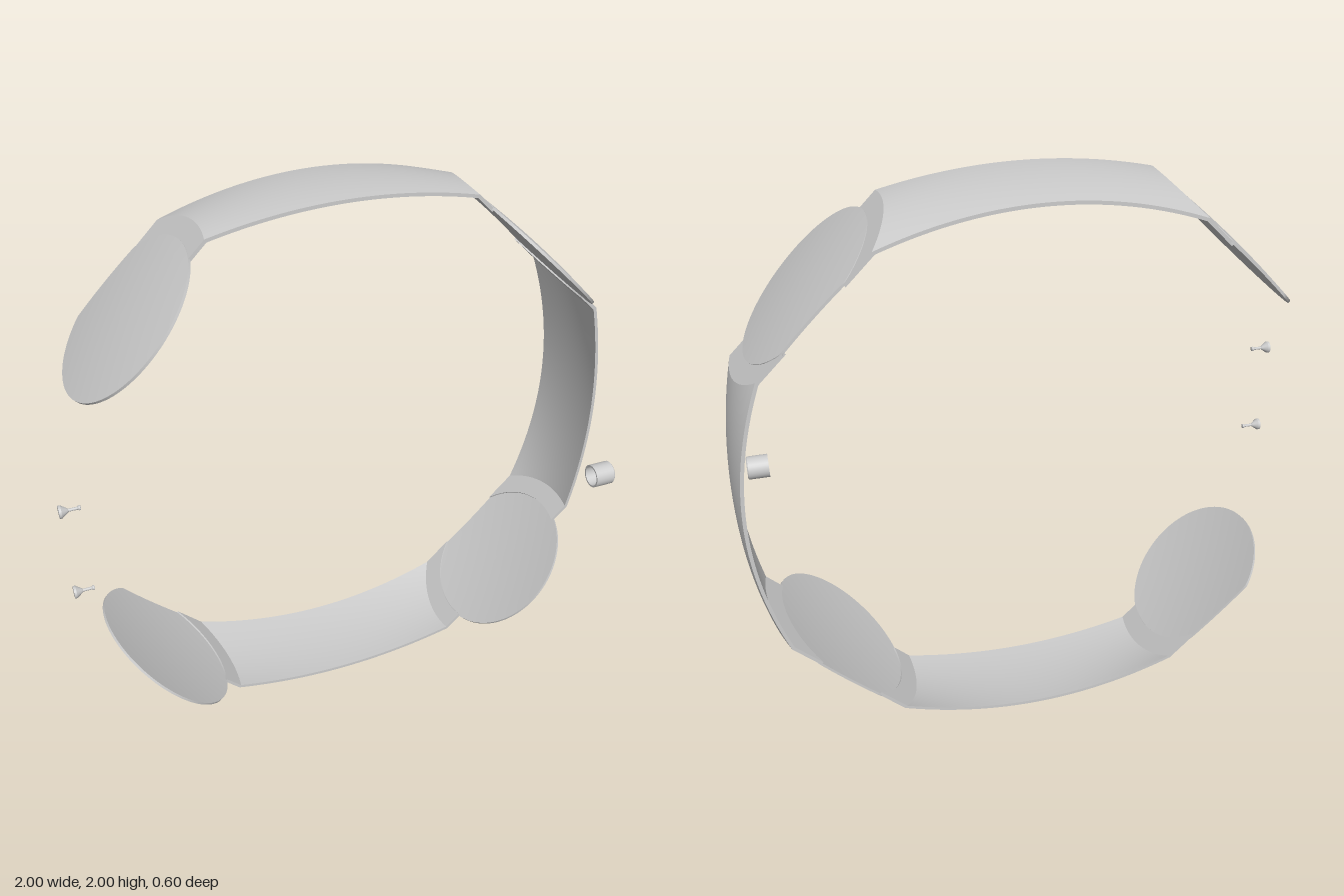
import * as THREE from 'three';

const BACK = -0.3, FRONT = 0.03, CZ = -0.05; // band edges and disc centre in z
const DISC_R = 0.29, COLLAR_R = 0.36;
const PLANE = 0.983;                         // distance of the disc planes from the ring axis
const THICK = 0.012;
const grey = new THREE.MeshStandardMaterial({ color: 0xcccccc, side: THREE.DoubleSide });
const lerp = THREE.MathUtils.lerp;

function mesh(name, geometry) {
  const m = new THREE.Mesh(geometry, grey);
  m.name = name;
  return m;
}

// Thin solid plate: point(u, v) gives [x, y, z] of the outer face, the inner face lies `thick` below
function plate(point, nu, nv, thick) {
  const pos = [], idx = [];
  const sheet = (fn, a, b, flip) => {
    const base = pos.length / 3;
    for (let j = 0; j <= b; j++) for (let i = 0; i <= a; i++) pos.push(...fn(i / a, j / b));
    for (let j = 0; j < b; j++) for (let i = 0; i < a; i++) {
      const p = base + j * (a + 1) + i, q = p + 1, r = p + a + 1, s = r + 1;
      if (flip) idx.push(p, q, r, q, s, r);
      else idx.push(p, r, q, q, r, s);
    }
  };
  const low = (u, v, t) => {
    const [x, y, z] = point(u, v);
    return [x, y - t * thick, z];
  };
  sheet(point, nu, nv, false);
  sheet((u, v) => low(u, v, 1), nu, nv, true);
  sheet((u, t) => low(u, 0, t), nu, 1, false);
  sheet((u, t) => low(u, 1, t), nu, 1, true);
  sheet((v, t) => low(0, v, t), nv, 1, true);
  sheet((v, t) => low(1, v, t), nv, 1, false);
  const g = new THREE.BufferGeometry();
  g.setAttribute('position', new THREE.Float32BufferAttribute(pos, 3));
  g.setIndex(idx);
  g.computeVertexNormals();
  return g;
}

// Half chord of a circle around the disc centre at depth z
const chord = (r, z) => Math.sqrt(Math.max(0, r * r - (z - CZ) ** 2));

// Bowed band whose ends are cut by arcs concentric with the neighbouring discs
function panelGeometry() {
  return plate((u, v) => {
    const z = lerp(BACK, FRONT, v), k = u * 2 - 1;
    const endX = (PLANE - chord(COLLAR_R, z)) * Math.SQRT1_2;
    const endY = PLANE * Math.SQRT2 - endX;
    const midY = 1 - 0.4 * (z - CZ) ** 2;
    return [k * endX, lerp(midY, endY, k * k), z];
  }, 48, 16, THICK);
}

// Flat arc between a disc and the end of a band
function collarGeometry(side) {
  return plate((u, v) => {
    const z = lerp(BACK, FRONT, v);
    const a = chord(DISC_R - 0.007, z), b = chord(COLLAR_R, z);
    return [side > 0 ? lerp(a, b, u) : -lerp(b, a, u), PLANE, z];
  }, 4, 20, THICK);
}

// Slightly domed disc, cut straight along the back edge
function discGeometry() {
  return plate((u, v) => {
    const a = u * Math.PI * 2, s = Math.sin(a);
    const limit = s < 0 ? Math.min(DISC_R, (BACK - CZ) / s) : DISC_R;
    const r = limit * (1 - v);
    return [r * Math.cos(a), PLANE + 0.002 + 0.014 * (1 - (r / DISC_R) ** 2), CZ + r * s];
  }, 120, 12, 0.009);
}

// Turned part lying along x; the profile lists [radius, x], each segment keeps sharp ends
function turned(name, profile, x, y, z) {
  const g = new THREE.Group();
  g.name = name;
  for (let i = 0; i + 1 < profile.length; i++) {
    const pts = [profile[i], profile[i + 1]].map(([r, h]) => new THREE.Vector2(r, h));
    const part = mesh(name + 'Face', new THREE.LatheGeometry(pts, 32));
    part.rotation.z = -Math.PI / 2;
    g.add(part);
  }
  g.position.set(x, y, z);
  return g;
}

export function createModel() {
  const model = new THREE.Group();
  model.name = 'openRing';

  // Ring parts, placed by turning them about the ring axis
  const ring = new THREE.Group();
  ring.name = 'ring';
  ring.position.y = 1;
  model.add(ring);
  const place = (name, geometry, degrees) => {
    const m = mesh(name, geometry);
    m.rotation.z = THREE.MathUtils.degToRad(degrees);
    ring.add(m);
  };

  const panel = panelGeometry(), disc = discGeometry();
  const before = collarGeometry(-1), after = collarGeometry(1);
  [['topBand', 0], ['sideBand', -90], ['bottomBand', -180]].forEach(([name, deg]) => {
    place(name, panel, deg);
    place(name + 'StartCollar', after, deg + 45);
    place(name + 'EndCollar', before, deg - 45);
  });
  [['upperRightDisc', 45], ['upperLeftDisc', -45], ['lowerLeftDisc', -135], ['lowerRightDisc', -225]]
    .forEach(([name, deg]) => place(name, disc, deg));

  // Two small countersunk pins
  const pin = [[0, 0], [0.021, 0], [0.021, 0.008], [0.007, 0.028], [0.005, 0.03],
    [0.005, 0.058], [0.008, 0.062], [0.008, 0.068], [0, 0.07]];
  for (const [name, y] of [['upperPin', 1.17], ['lowerPin', 0.835]]) {
    model.add(turned(name, pin, -1, y, 0.135));
  }

  // Small cup, open towards the ring centre, with a recessed outer end
  const cup = [[0, 0.05], [0.036, 0.05], [0.036, 0], [0.042, 0], [0.042, 0.073],
    [0.038, 0.077], [0.027, 0.077], [0.024, 0.06], [0, 0.06]];
  model.add(turned('cup', cup, 0.869, 0.882, 0.255));

  return model;
}
